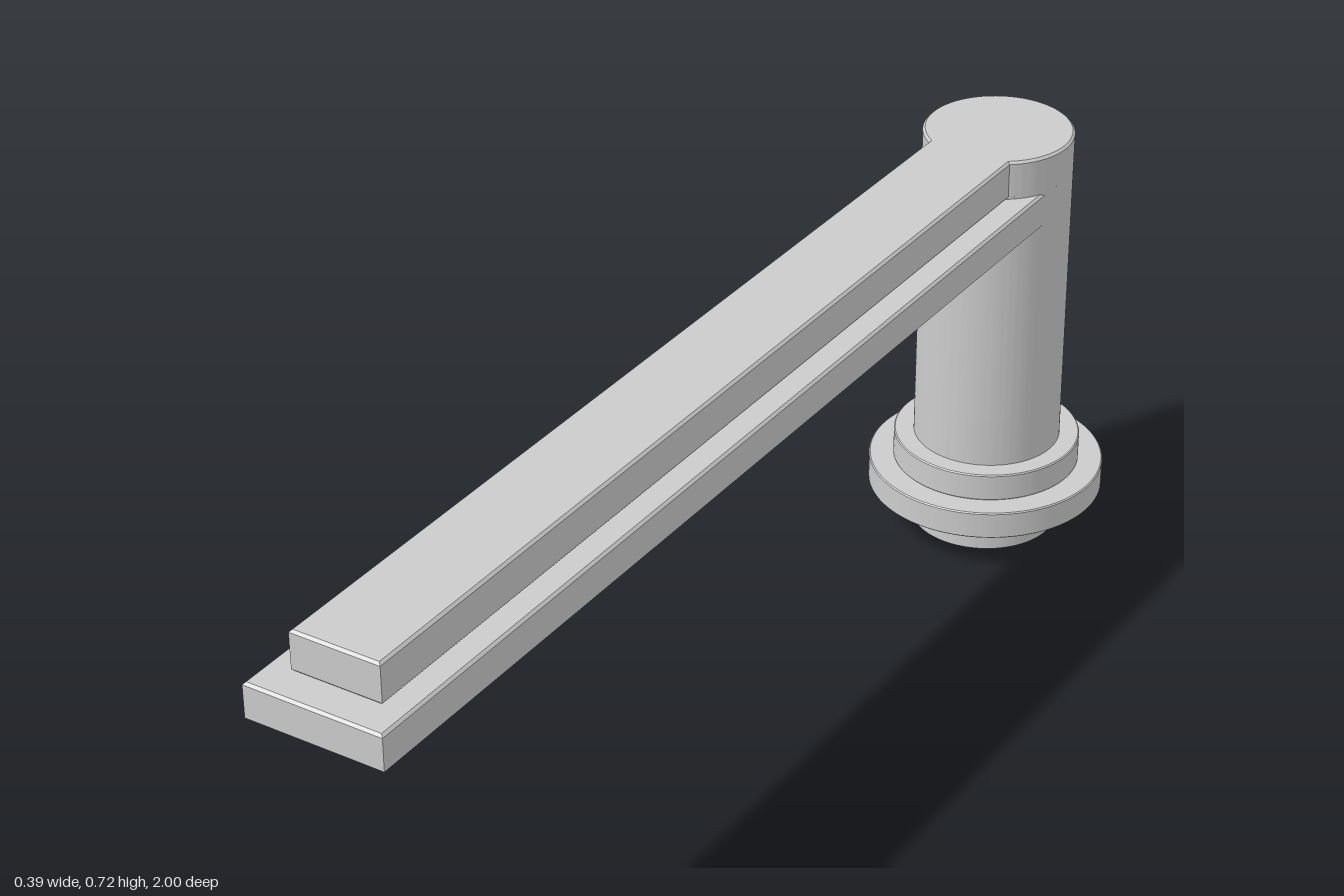
import * as THREE from 'three';
import { toCreasedNormals } from 'three/addons/utils/BufferGeometryUtils.js';

const POST_Z = -0.804, POST_R = 0.122, TOP = 0.72;
const SOCKET_HALF = 0.059, SOCKET_DEPTH = 0.25;
const LEDGE_TOP = 0.655, BEVEL = 0.004;

const material = new THREE.MeshStandardMaterial({ color: 0xcccccc });

// Plan outlines are drawn in x and -z.
function disc(radius) {
  return new THREE.Shape().absarc(0, -POST_Z, radius, 0, Math.PI * 2);
}

function bar(halfWidth, back, front) {
  return new THREE.Shape([
    [-halfWidth, -front], [halfWidth, -front], [halfWidth, -back], [-halfWidth, -back],
  ].map(([x, y]) => new THREE.Vector2(x, y)));
}

// Raise a plan outline from y0 to y1, with an optional fine chamfer on its edges.
function slab(name, shape, y0, y1, bevel = 0) {
  const geometry = new THREE.ExtrudeGeometry(shape, {
    depth: y1 - y0 - 2 * bevel,
    curveSegments: 64,
    bevelEnabled: bevel > 0,
    bevelThickness: bevel,
    bevelSize: bevel,
    bevelOffset: -bevel,
    bevelSegments: 1,
  });
  geometry.rotateX(-Math.PI / 2).translate(0, y0 + bevel, 0);
  const mesh = new THREE.Mesh(toCreasedNormals(geometry, 0.4), material);
  mesh.name = name;
  return mesh;
}

export function createModel() {
  const model = new THREE.Group();
  model.name = 'leverHandle';

  // Lower end of the post, with a square spindle socket
  const socketEnd = disc(POST_R);
  socketEnd.holes.push(bar(SOCKET_HALF, POST_Z - SOCKET_HALF, POST_Z + SOCKET_HALF));
  model.add(slab('postSocket', socketEnd, 0, SOCKET_DEPTH));
  model.add(slab('post', disc(POST_R), SOCKET_DEPTH, LEDGE_TOP + BEVEL));

  // Stepped mounting rings, hollow so the socket stays open
  for (const [name, radius, y0, y1] of [['flange', 0.196, 0.067, 0.115], ['collar', 0.155, 0.115, 0.163]]) {
    const ring = disc(radius);
    ring.holes.push(disc(POST_R - 0.01));
    model.add(slab(name, ring, y0, y1, BEVEL / 2));
  }

  // Wide lower layer of the lever
  model.add(slab('leverLedge', bar(0.112, -0.76, 1), 0.595, LEDGE_TOP, BEVEL));

  // Narrow upper layer, one keyhole outline with the post's head
  const half = 0.073;
  const neck = Math.acos(half / POST_R);
  const keyhole = new THREE.Shape();
  keyhole.moveTo(-half, -0.947);
  keyhole.lineTo(half, -0.947);
  keyhole.absarc(0, -POST_Z, POST_R, -neck, Math.PI + neck);
  keyhole.closePath();
  model.add(slab('leverTop', keyhole, LEDGE_TOP, TOP, BEVEL));

  return model;
}
